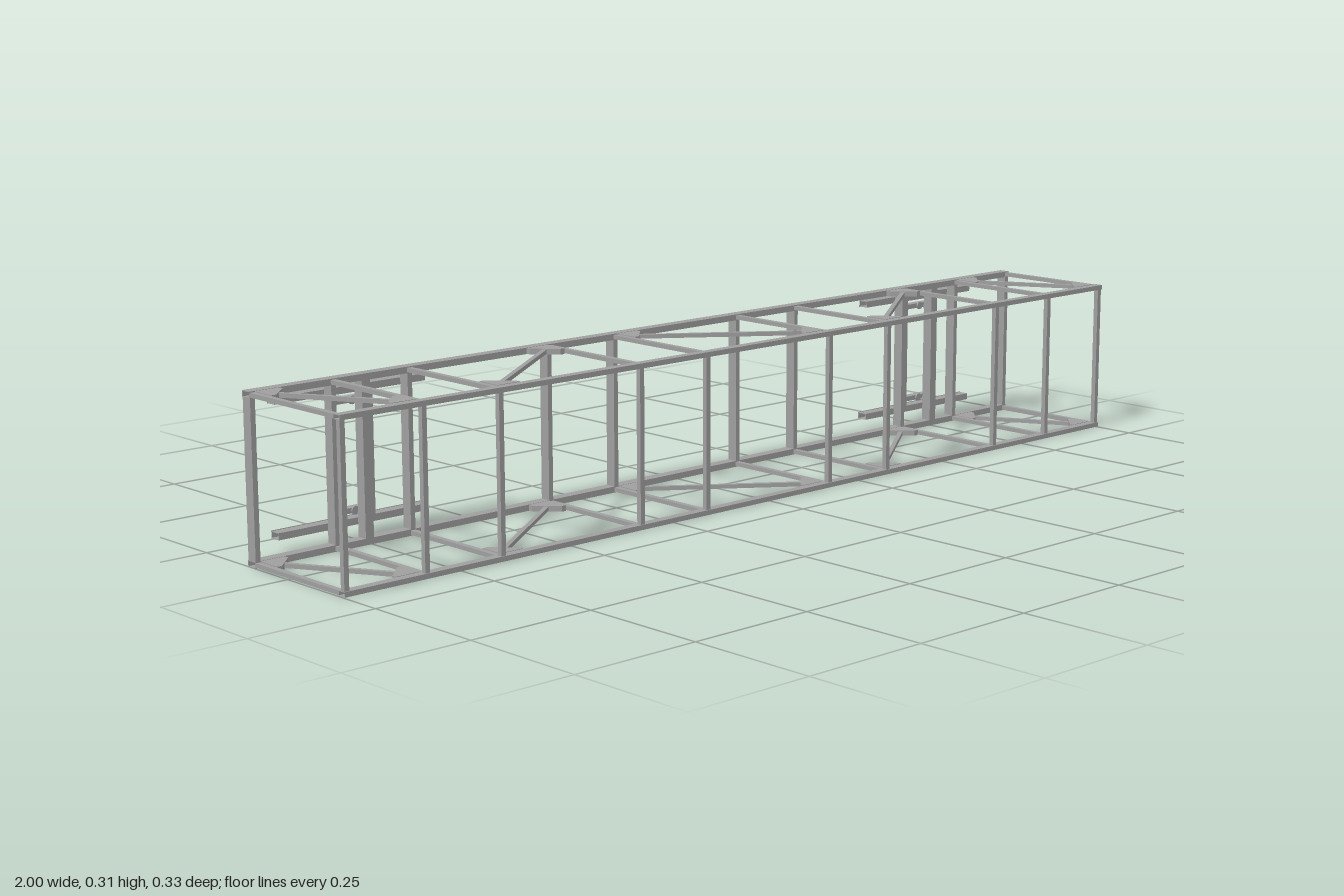
import * as THREE from 'three';

export function createModel() {
  const model = new THREE.Group();
  const steel = new THREE.MeshStandardMaterial({ color: 0x9f9f9f });
  steel.name = 'steel grey';

  function add(name, geometry, x, y, z, parent = model) {
    const mesh = new THREE.Mesh(geometry, steel);
    mesh.name = name;
    mesh.position.set(x, y, z);
    parent.add(mesh);
    return mesh;
  }
  const box = (name, w, h, d, x, y, z, parent) =>
    add(name, new THREE.BoxGeometry(w, h, d), x, y, z, parent);

  // Rectangular outline centred on the origin
  function rect(Type, w, h) {
    return new Type([[-1, -1], [1, -1], [1, 1], [-1, 1]].map(
      ([a, b]) => new THREE.Vector2(a * w / 2, b * h / 2)));
  }
  // Open-ended hollow tube running along x
  function tube(name, length, h, d, x, y, z, parent) {
    const wall = 0.0012;
    const shape = rect(THREE.Shape, d, h);
    shape.holes.push(rect(THREE.Path, d - 2 * wall, h - 2 * wall));
    const g = new THREE.ExtrudeGeometry(shape, { depth: length, bevelEnabled: false });
    g.translate(0, 0, -length / 2);
    g.rotateY(Math.PI / 2);
    return add(name, g, x, y, z, parent);
  }
  // Corner plate filling the angle between a chord and a crossbar
  function gusset(x, y, z, dirX, dirZ, parent) {
    const leg = 0.05, cut = 0.01, t = 0.011;
    const pts = [[0, 0], [leg, 0], [leg, cut], [cut, leg], [0, leg]]
      .map(([a, b]) => new THREE.Vector2(a * dirX, -b * dirZ));
    const g = new THREE.ExtrudeGeometry(new THREE.Shape(pts), { depth: t, bevelEnabled: false });
    g.translate(0, 0, -t / 2);
    g.rotateX(-Math.PI / 2);
    add('gussetPlate', g, x, y, z, parent);
  }

  const frontZ = 0.156, rearZ = -0.108;
  const innerFront = 0.147, innerRear = -0.097;
  const stations = [-0.994, -0.825, -0.658, -0.33, -0.164, 0.164, 0.33, 0.658, 0.825, 0.994];
  // Braced bays: start, end, and whether the diagonal starts at the rear
  const bays = [
    [-0.994, -0.825, true], [-0.658, -0.33, false], [-0.164, 0.164, true],
    [0.33, 0.658, false], [0.825, 0.994, true],
  ];

  // Upper and lower horizontal trusses
  for (const [name, y] of [['upperTruss', 0.307], ['lowerTruss', 0.006]]) {
    const truss = new THREE.Group();
    truss.name = name;
    model.add(truss);
    tube('frontChord', 2, 0.0095, 0.018, 0, y, frontZ, truss);
    tube('rearChord', 2, 0.012, 0.022, 0, y, rearZ, truss);
    for (const x of stations)
      box('crossbar', 0.011, 0.008, innerFront - innerRear, x, y, (innerFront + innerRear) / 2, truss);

    for (const [a, b, rearFirst] of bays) {
      const x0 = a + 0.0055, x1 = b - 0.0055;
      const z0 = rearFirst ? innerRear : innerFront;
      const z1 = rearFirst ? innerFront : innerRear;
      const side = rearFirst ? 1 : -1;
      gusset(x0, y, z0, 1, side, truss);
      gusset(x1, y, z1, -1, -side, truss);
      // Diagonal brace between the two corner plates
      const inset = 0.022;
      const dx = x1 - x0 - 2 * inset, dz = z1 - z0 - 2 * inset * side;
      const brace = box('diagonalBrace', Math.hypot(dx, dz), 0.008, 0.009,
        (x0 + x1) / 2, y, (z0 + z1) / 2, truss);
      brace.rotation.y = -Math.atan2(dz, dx);
    }
  }

  // Uprights joining the trusses
  for (const x of stations) {
    box('frontPost', 0.01, 0.292, 0.01, x, 0.1565, 0.158);
    box('rearPost', 0.01, 0.29, 0.022, x, 0.1565, rearZ);
  }

  // Rear mounting brackets, one near each end
  for (const side of [-1, 1]) {
    const cx = side * 0.755;
    box('mountingPost', 0.018, 0.29, 0.022, cx, 0.1565, rearZ);

    const bracket = new THREE.Group();
    bracket.name = 'mountingBracket';
    model.add(bracket);
    for (const y of [0.279, 0.035]) {
      tube('bracketRail', 0.33, 0.013, 0.022, cx, y, -0.152, bracket);
      box('railLip', 0.33, 0.015, 0.001, cx, y, -0.1635, bracket);
    }
    for (const dx of [-0.041, 0.041])
      box('bracketColumn', 0.01, 0.232, 0.018, cx + dx, 0.157, -0.15, bracket);
    for (const y of [0.259, 0.056]) {
      box('bracketCrossbar', 0.072, 0.01, 0.018, cx, y, -0.15, bracket);
      // Low round pads on the bracket and on the post behind it
      for (const [z, name] of [[-0.14, 'bracketPad'], [-0.1195, 'postPad']]) {
        const pad = new THREE.CylinderGeometry(0.008, 0.008, 0.004, 16);
        pad.rotateX(Math.PI / 2);
        add(name, pad, cx, y, z, bracket);
      }
    }
  }
  return model;
}
